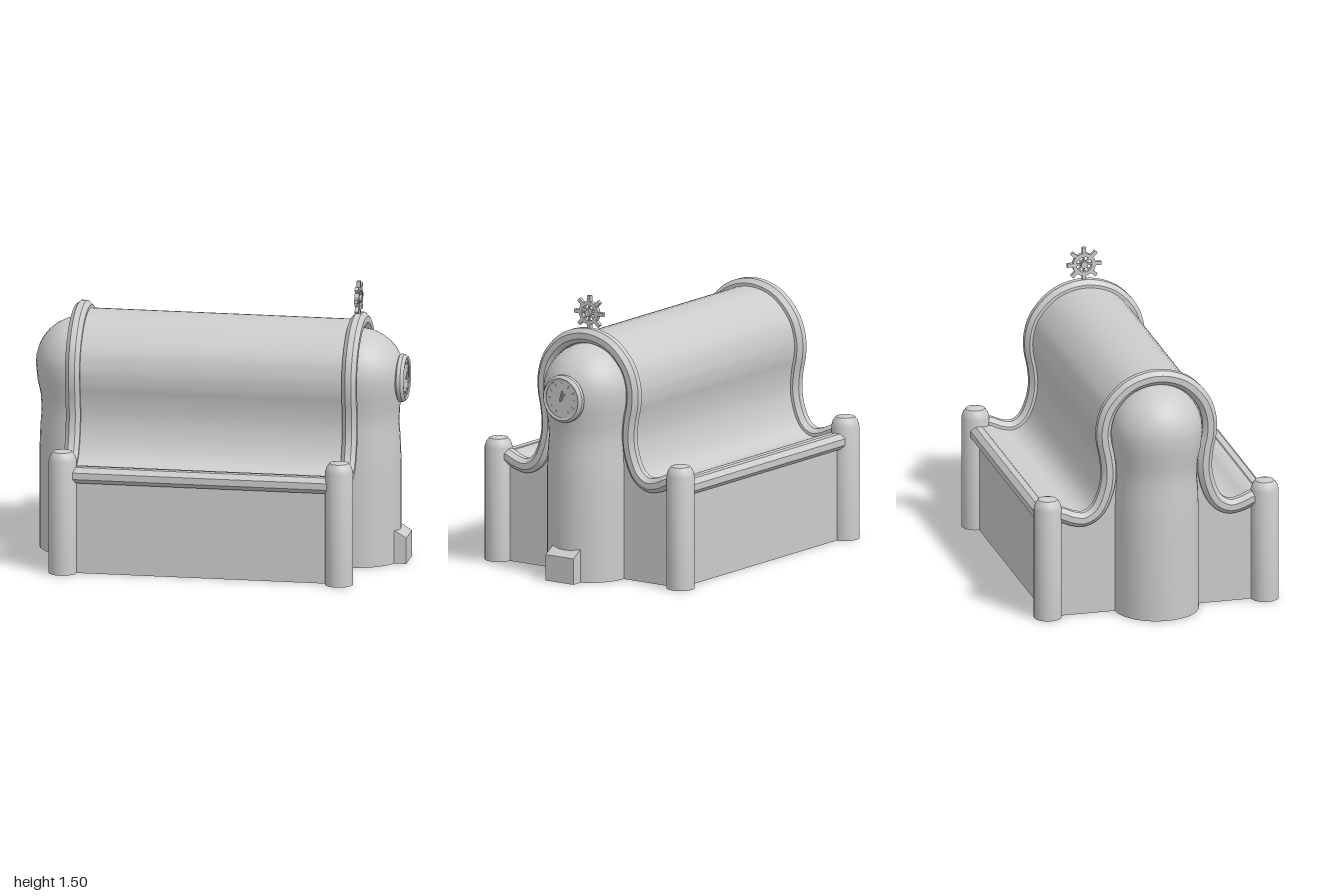
import * as THREE from 'three';
import { toCreasedNormals } from 'three/addons/utils/BufferGeometryUtils.js';

const BACK = -0.755, FRONT = 0.725; // the two end walls
const mat = new THREE.MeshStandardMaterial({ color: 0xcccccc });

export function createModel() {
  const model = new THREE.Group();
  const add = (name, geo, x = 0, y = 0, z = 0, parent = model) => {
    const m = new THREE.Mesh(geo, mat);
    m.name = name;
    m.position.set(x, y, z);
    parent.add(m);
    return m;
  };
  const v2 = (list) => list.map(([a, b]) => new THREE.Vector2(a, b));

  // Half of the roof outline as [z, y], from eave to ridge
  const half = [[0.59, 0.575], [0.52, 0.567], [0.465, 0.543], [0.395, 0.532], [0.33, 0.568],
    [0.285, 0.65], [0.262, 0.76], [0.27, 0.87], [0.286, 0.95], [0.286, 1.04], [0.25, 1.145],
    [0.145, 1.25], [0, 1.288]];
  const outline = [...half, ...half.slice(0, -1).reverse().map(([z, y]) => [-z, y])];
  const roofPoints = new THREE.SplineCurve(v2(outline)).getPoints(96);

  // Hall: walls and flared vault extruded along x
  const hallShape = new THREE.Shape([...v2([[-0.59, 0], [0.59, 0]]), ...roofPoints]);
  const hall = new THREE.ExtrudeGeometry(hallShape, { depth: FRONT - BACK, bevelEnabled: false });
  hall.rotateY(Math.PI / 2);
  add('hall', toCreasedNormals(hall, 0.5), BACK);

  // Eight-sided moulding swept along a path
  const octagon = (r) => new THREE.Shape(Array.from({ length: 8 }, (_, i) => {
    const a = (i + 0.5) * Math.PI / 4;
    return new THREE.Vector2(r * Math.cos(a), r * Math.sin(a));
  }));
  const moulding = (path, steps, r) => toCreasedNormals(
    new THREE.ExtrudeGeometry(octagon(r), { steps, extrudePath: path, bevelEnabled: false }), 0.5);

  const archPath = new THREE.CatmullRomCurve3(outline.map(([z, y]) => new THREE.Vector3(0, y, z)));
  for (const x of [BACK, FRONT]) add('gableMoulding', moulding(archPath, 96, 0.042), x);

  // Rounded apse at each end
  const apseProfile = [[0, 0], [0.225, 0], [0.225, 0.55], [0.221, 0.66], [0.214, 0.75],
    [0.219, 0.83], [0.236, 0.91], [0.245, 1.0]];
  for (let i = 1; i <= 8; i++) {
    const a = i * Math.PI / 16;
    apseProfile.push([i === 8 ? 0 : 0.245 * Math.cos(a), 1 + 0.245 * Math.sin(a)]);
  }
  const apse = toCreasedNormals(new THREE.LatheGeometry(v2(apseProfile), 32), 0.6);
  add('backApse', apse, BACK);
  add('frontApse', apse, FRONT);

  // Corner pillars with domed tops, and the eave mouldings between them
  const pillar = toCreasedNormals(new THREE.LatheGeometry(v2([[0, 0], [0.074, 0], [0.074, 0.61],
    [0.066, 0.637], [0.05, 0.658], [0.025, 0.664], [0, 0.665]]), 24), 0.6);
  for (const z of [-0.592, 0.592]) {
    for (const x of [BACK, FRONT]) add('pillar', pillar, x, 0, z);
    const eave = new THREE.LineCurve3(new THREE.Vector3(BACK, 0, 0), new THREE.Vector3(FRONT, 0, 0));
    add('eaveMoulding', moulding(eave, 1, 0.046), 0, 0.535, z);
  }

  // Sloped block at the foot of the front apse
  const block = new THREE.ExtrudeGeometry(new THREE.Shape(v2([[0.82, 0], [0.995, 0], [0.995, 0.14],
    [0.93, 0.18], [0.82, 0.18]])), { depth: 0.18, bevelEnabled: false });
  add('doorBlock', block, 0, 0, -0.09);

  // Clock facing +x
  const clock = new THREE.Group();
  clock.name = 'clock';
  clock.position.set(0.938, 0.987, 0);
  model.add(clock);
  const dial = new THREE.LatheGeometry(v2([[0, 0], [0.115, 0], [0.127, 0.01], [0.127, 0.03],
    [0.115, 0.046], [0.113, 0.047], [0.1, 0.042], [0.1, 0.037], [0, 0.037]]), 40);
  dial.rotateZ(-Math.PI / 2);
  add('clockDial', toCreasedNormals(dial, 0.5), 0, 0, 0, clock);
  for (let i = 0; i < 12; i++) {
    const a = i * Math.PI / 6;
    const tick = add('hourMark', new THREE.BoxGeometry(0.004, 0.014, 0.006),
      0.038, 0.08 * Math.cos(a), 0.08 * Math.sin(a), clock);
    tick.rotation.x = a;
  }
  const hand = (name, length, angle, x) => {
    const geo = new THREE.BoxGeometry(0.004, length, 0.008).translate(0, length / 2 - 0.01, 0);
    add(name, geo, x, 0, 0, clock).rotation.x = angle;
  };
  hand('minuteHand', 0.06, -0.25, 0.052);
  hand('hourHand', 0.05, -0.6, 0.044);
  const pin = new THREE.CylinderGeometry(0.005, 0.005, 0.025, 10).rotateZ(Math.PI / 2);
  add('clockPin', pin, 0.044, 0, 0, clock);

  // Spoked wheel finial above the front gable
  const wheel = new THREE.Group();
  wheel.name = 'wheelFinial';
  wheel.position.set(FRONT, 1.41, 0);
  model.add(wheel);
  const ring = new THREE.Shape().absarc(0, 0, 0.062, 0, Math.PI * 2);
  ring.holes.push(new THREE.Path().absarc(0, 0, 0.042, 0, Math.PI * 2, true));
  const rim = new THREE.ExtrudeGeometry(ring, { depth: 0.024, bevelEnabled: false, curveSegments: 24 });
  add('wheelRim', toCreasedNormals(rim.translate(0, 0, -0.012).rotateY(Math.PI / 2), 0.5), 0, 0, 0, wheel);
  const hub = new THREE.CylinderGeometry(0.019, 0.019, 0.04, 16).rotateZ(Math.PI / 2);
  add('wheelHub', hub, 0, 0, 0, wheel);
  for (let i = 0; i < 8; i++) {
    const arm = new THREE.Group();
    arm.name = 'wheelArm';
    arm.rotation.x = i * Math.PI / 4;
    wheel.add(arm);
    add('spoke', new THREE.BoxGeometry(0.014, 0.04, 0.01), 0, 0.03, 0, arm);
    add('tooth', new THREE.BoxGeometry(0.02, 0.04, 0.02), 0, 0.073, 0, arm);
  }
  return model;
}
